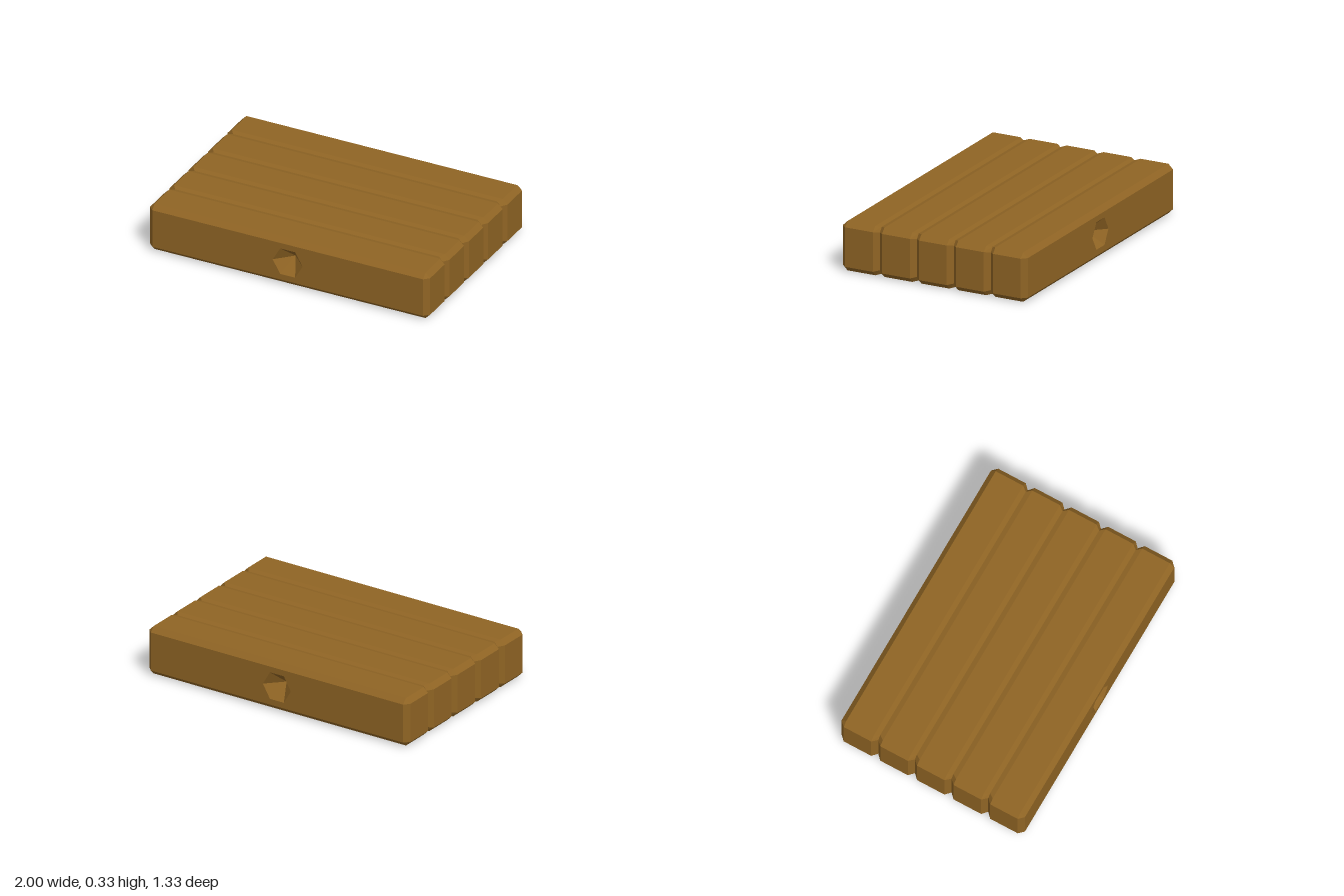
import * as THREE from 'three';

const MID_Y = 0.168;
const wood = new THREE.MeshStandardMaterial({ color: 0x8f6424 });
wood.name = 'brown wood';

// Bevelled rectangle in the xy plane, counter-clockwise from the front
function ring(z, sideX, flatX, topH, sideH) {
  return [
    [sideX, -sideH], [sideX, sideH], [flatX, topH], [-flatX, topH],
    [-sideX, sideH], [-sideX, -sideH], [-flatX, -topH], [flatX, -topH],
  ].map(([x, y]) => new THREE.Vector3(x, y + MID_Y, z));
}

// Skin between successive rings, with hard edges
function loft(rings) {
  const pos = [];
  const tri = (a, b, c) => {
    if (a.distanceTo(b) * b.distanceTo(c) * c.distanceTo(a) < 1e-9) return;
    for (const p of [a, b, c]) pos.push(p.x, p.y, p.z);
  };
  for (let k = 0; k + 1 < rings.length; k++) {
    const n = rings[k].length;
    for (let i = 0; i < n; i++) {
      const j = (i + 1) % n;
      const [a, b, c, d] = [rings[k][i], rings[k][j], rings[k + 1][j], rings[k + 1][i]];
      tri(a, d, c);
      tri(a, c, b);
    }
  }
  const g = new THREE.BufferGeometry();
  g.setAttribute('position', new THREE.Float32BufferAttribute(pos, 3));
  g.computeVertexNormals();
  return g;
}

function hexagon(radius, z) {
  return Array.from({ length: 6 }, (_, i) => {
    const a = i * Math.PI / 3;
    return new THREE.Vector3(radius * Math.cos(a), radius * Math.sin(a), z);
  });
}

export function createModel() {
  const model = new THREE.Group();
  model.name = 'plankBlock';
  const add = (name, geometry, parent) => {
    const mesh = new THREE.Mesh(geometry, wood);
    mesh.name = name;
    parent.add(mesh);
    return mesh;
  };

  // Five planks with shallow V grooves between them and bevelled ends
  const full = (z) => ring(z, 1, 0.967, 0.166, 0.133);
  const groove = (z) => ring(z, 0.967, 0.942, 0.158, 0.127);
  const end = (z) => ring(z, 0.967, 0.967, 0.133, 0.133);
  const rings = [end(0.667), full(0.633)];
  for (const z of [0.4, 0.133, -0.133, -0.4]) {
    rings.push(full(z + 0.033), groove(z), full(z - 0.033));
  }
  rings.push(full(-0.633), end(-0.667));
  add('planks', loft(rings), model);

  // End face with a hexagonal opening
  const face = new THREE.Shape([
    [-0.967, -0.133], [0.967, -0.133], [0.967, 0.133], [-0.967, 0.133],
  ].map(([x, y]) => new THREE.Vector2(x, y)));
  face.holes.push(new THREE.Path(hexagon(0.107, 0).map((p) => new THREE.Vector2(p.x, p.y)).reverse()));
  const faceGeometry = new THREE.ShapeGeometry(face);

  // Pointed recess; reversed corners make it face outward from the hole
  const recessGeometry = loft([hexagon(0.107, 0).reverse(), hexagon(0, -0.11)]);

  for (const [name, turn] of [['front', 0], ['back', Math.PI]]) {
    const side = new THREE.Group();
    side.name = name + 'End';
    add(name + 'Face', faceGeometry, side);
    add(name + 'Recess', recessGeometry, side);
    side.rotation.y = turn;
    side.position.set(0, MID_Y, turn ? -0.667 : 0.667);
    model.add(side);
  }
  return model;
}
